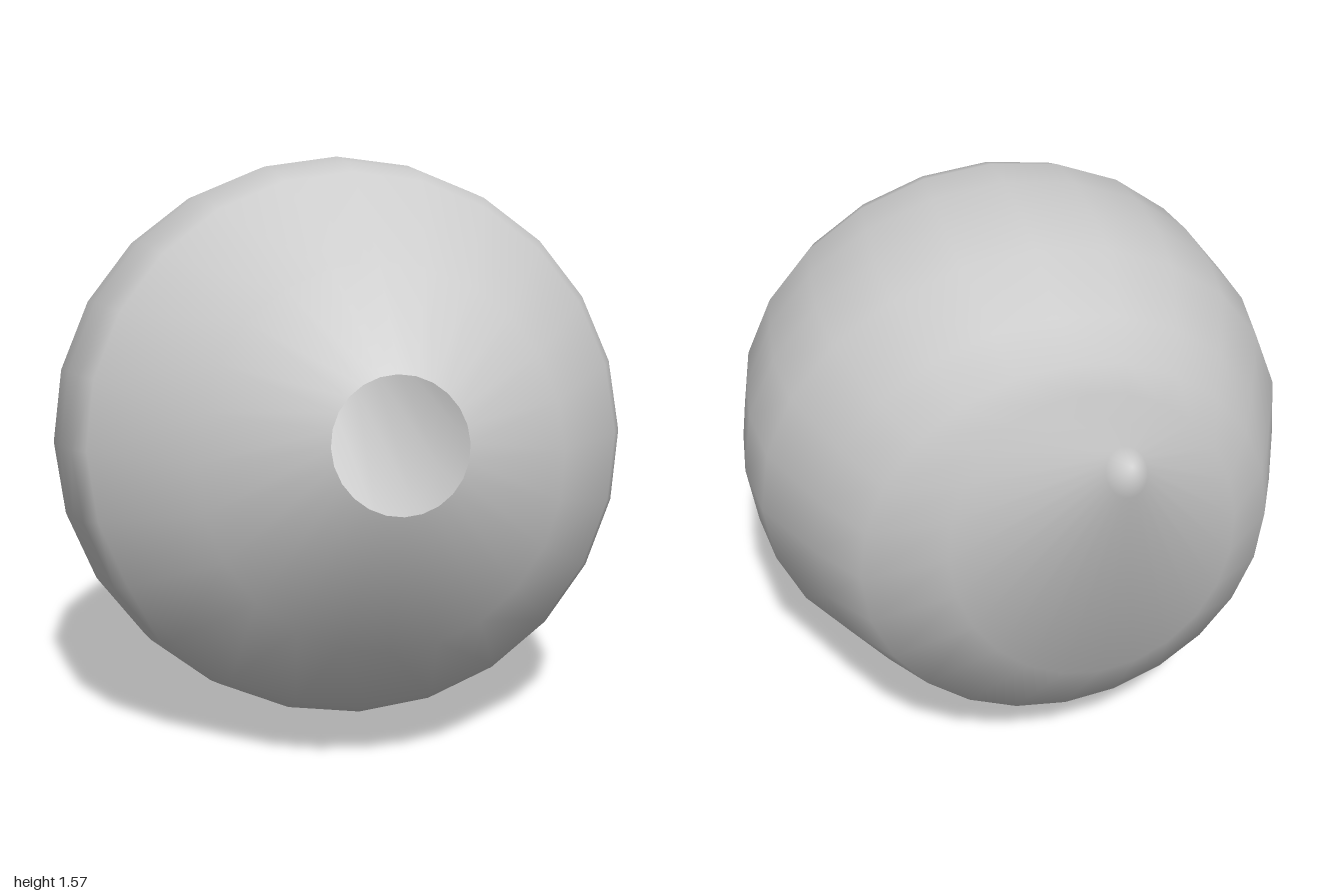
import * as THREE from 'three';

const SIDES = 24;

// Tilted elliptical rings, front to back: [top z, top y, bottom z, bottom y, half width]
const RINGS = [
  [0.92, 1.08, 1.0, 0.75, 0.17],
  [0.70, 1.33, 0.86, 0.37, 0.47],
  [0.38, 1.54, 0.56, 0.12, 0.72],
  [0.31, 1.565, 0.49, 0.08, 0.757],
  [0.16, 1.575, 0.35, 0.04, 0.78],
  [0.0, 1.56, 0.2, 0.015, 0.795],
  [-0.17, 1.53, 0.02, 0.004, 0.77],
  [-0.37, 1.44, -0.27, 0.125, 0.66],
  [-0.51, 1.38, -0.52, 0.25, 0.565],
  [-0.66, 1.385, -0.82, 0.63, 0.375],
  [-0.93, 1.41, -0.995, 1.31, 0.05],
];
const TIP = [0, 1.4, -1.0];

// Smooth skin over the rings, open at the front and closed at the tip
function loft(rings, tip) {
  const positions = [];
  const index = [];
  for (const [topZ, topY, bottomZ, bottomY, halfWidth] of rings) {
    for (let i = 0; i < SIDES; i++) {
      const a = (i / SIDES) * Math.PI * 2;
      const t = (1 - Math.cos(a)) / 2;
      positions.push(
        halfWidth * Math.sin(a),
        THREE.MathUtils.lerp(topY, bottomY, t),
        THREE.MathUtils.lerp(topZ, bottomZ, t)
      );
    }
  }
  positions.push(...tip);
  const tipIndex = rings.length * SIDES;
  for (let r = 0; r < rings.length; r++) {
    for (let i = 0; i < SIDES; i++) {
      const a = r * SIDES + i;
      const b = r * SIDES + ((i + 1) % SIDES);
      if (r === rings.length - 1) index.push(a, b, tipIndex);
      else index.push(a, b, a + SIDES, b, b + SIDES, a + SIDES);
    }
  }
  const geometry = new THREE.BufferGeometry();
  geometry.setAttribute('position', new THREE.Float32BufferAttribute(positions, 3));
  geometry.setIndex(index);
  geometry.computeVertexNormals();
  return geometry;
}

export function createModel() {
  const group = new THREE.Group();
  group.name = 'pointedShell';

  // Hollow body with a round front opening and an upturned back tip
  const material = new THREE.MeshStandardMaterial({ color: 0xcccccc, side: THREE.DoubleSide });
  const body = new THREE.Mesh(loft(RINGS, TIP), material);
  body.name = 'hollowBody';
  group.add(body);

  return group;
}
